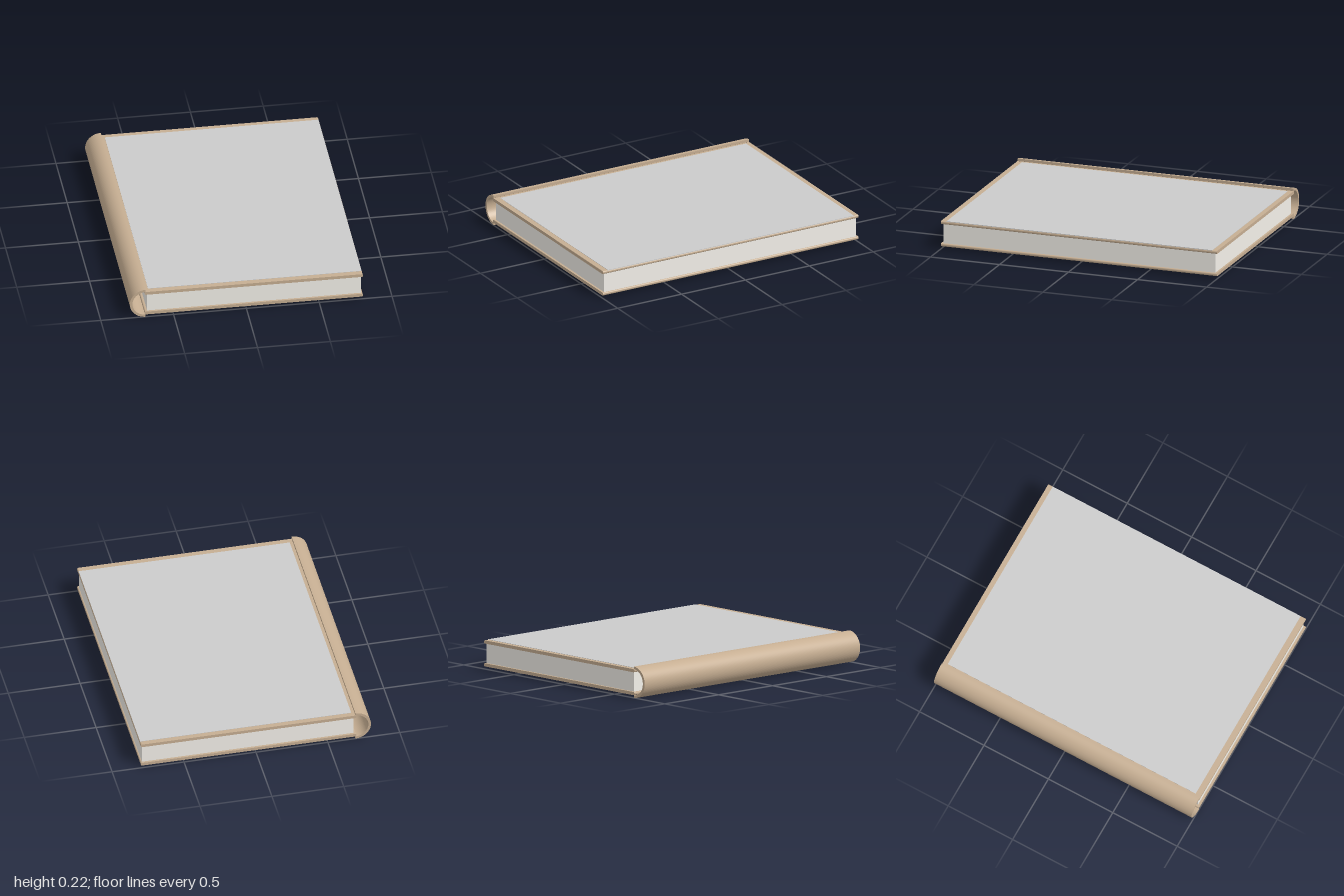
import * as THREE from 'three';

const tan = new THREE.MeshStandardMaterial({ color: 0xc6ae92 });
const paper = new THREE.MeshStandardMaterial({ color: 0xf4f1ea });
const grey = new THREE.MeshStandardMaterial({ color: 0xcccccc });

const LENGTH = 2;      // along z
const MID_Y = 0.108;   // middle of the book's thickness

// Extrude an x-y profile along z, centred on z = 0
function extrudeAlongZ(shape, name, material) {
  const geometry = new THREE.ExtrudeGeometry(shape, {
    depth: LENGTH, bevelEnabled: false, curveSegments: 32,
  });
  geometry.translate(0, 0, -LENGTH / 2);
  const mesh = new THREE.Mesh(geometry, material);
  mesh.name = name;
  return mesh;
}

// Box given by its limits
function boxBetween([x0, x1], [y0, y1], [z0, z1], name, material) {
  const mesh = new THREE.Mesh(new THREE.BoxGeometry(x1 - x0, y1 - y0, z1 - z0), material);
  mesh.position.set((x0 + x1) / 2, (y0 + y1) / 2, (z0 + z1) / 2);
  mesh.name = name;
  return mesh;
}

// Flat board profile with rounded long edges
function boardProfile(x0, x1, y0, y1, r) {
  const s = new THREE.Shape();
  s.absarc(x1 - r, y0 + r, r, -Math.PI / 2, 0);
  s.absarc(x1 - r, y1 - r, r, 0, Math.PI / 2);
  s.absarc(x0 + r, y1 - r, r, Math.PI / 2, Math.PI);
  s.absarc(x0 + r, y0 + r, r, Math.PI, Math.PI * 1.5);
  s.closePath();
  return s;
}

export function createModel() {
  const book = new THREE.Group();
  book.name = 'book';

  // Spine: half tube open towards the pages
  const outer = 0.108, inner = 0.09, spineX = -0.692;
  const spine = new THREE.Shape();
  spine.absarc(spineX, MID_Y, outer, Math.PI / 2, Math.PI * 1.5, false);
  spine.absarc(spineX, MID_Y, inner, Math.PI * 1.5, Math.PI / 2, true);
  spine.closePath();
  book.add(extrudeAlongZ(spine, 'spine', tan));

  // Covers, mirrored about the middle of the thickness
  for (const side of [1, -1]) {
    const a = MID_Y + side * 0.068, b = MID_Y + side * 0.09;
    const profile = boardProfile(-0.698, 0.8, Math.min(a, b), Math.max(a, b), 0.009);
    book.add(extrudeAlongZ(profile, side > 0 ? 'topCover' : 'bottomCover', tan));
  }

  // Page block, slightly inset from the covers
  book.add(boxBetween([-0.68, 0.79], [0.037, 0.179], [-0.985, 0.985], 'pages', paper));

  // Thin panel on the top cover
  book.add(boxBetween([-0.67, 0.797], [0.19, 0.2], [-0.965, 0.96], 'coverPanel', grey));

  return book;
}
